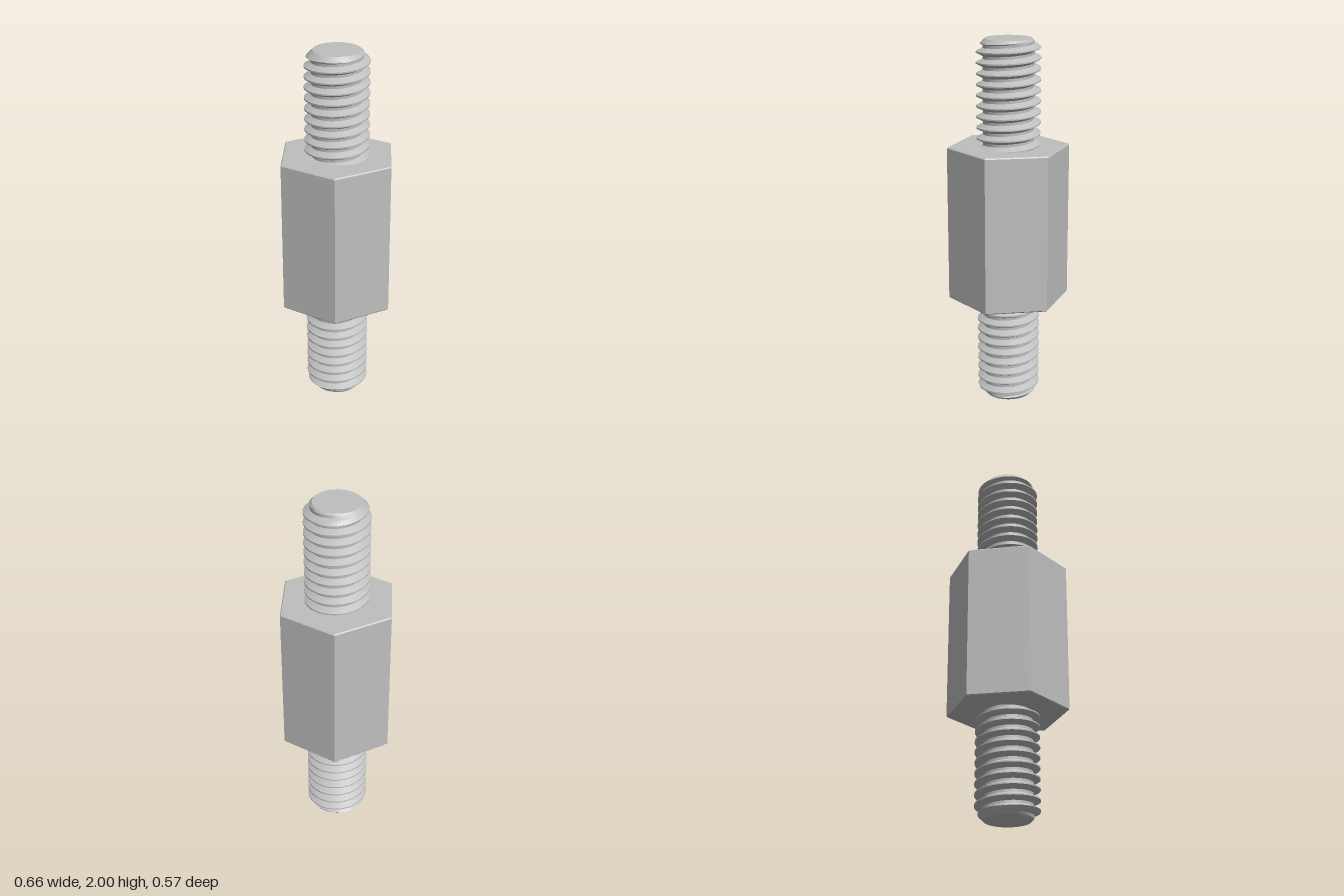
import * as THREE from 'three';
import { toCreasedNormals } from 'three/addons/utils/BufferGeometryUtils.js';

const MAJOR = 0.171, MINOR = 0.136, PITCH = 0.0571, TIP = 0.125;
const BODY_BOTTOM = 0.58, BODY_TOP = 1.43, CREST_Y = 1.949;
const SEGMENTS = 72;
// Row positions within one pitch: crest flat, flank, root flat, flank
const ROWS = [-0.0625, 0.0625, 0.165, 0.27, 0.375, 0.625, 0.73, 0.835];

// Thread radius at an angle (0..1 turn) and height; endY is the chamfered tip
function threadRadius(turn, y, endY) {
  let f = (y - CREST_Y) / PITCH - turn;
  f = Math.abs(f - Math.round(f)); // 0 at crest, 0.5 at root
  const depth = THREE.MathUtils.clamp((f - 0.0625) / (0.375 - 0.0625), 0, 1);
  return Math.min(THREE.MathUtils.lerp(MAJOR, MINOR, depth), TIP + Math.abs(y - endY));
}

// Right-handed helical surface clipped between two heights
function threadGeometry(y0, y1, endY) {
  const positions = [], index = [];
  const first = Math.floor((y0 - CREST_Y) / PITCH) - 2;
  const last = Math.ceil((y1 - CREST_Y) / PITCH) + 1;
  let rows = 0;
  for (let k = first; k <= last; k++) {
    for (const phase of ROWS) {
      for (let j = 0; j <= SEGMENTS; j++) {
        const turn = j / SEGMENTS, a = turn * Math.PI * 2;
        const y = THREE.MathUtils.clamp(CREST_Y + (k + phase + turn) * PITCH, y0, y1);
        const r = threadRadius(turn, y, endY);
        positions.push(r * Math.cos(a), y, -r * Math.sin(a));
      }
      rows++;
    }
  }
  const w = SEGMENTS + 1;
  for (let i = 0; i < rows - 1; i++) {
    for (let j = 0; j < SEGMENTS; j++) {
      const a = i * w + j, b = a + 1, c = a + w, d = c + 1;
      index.push(a, b, d, a, d, c);
    }
  }
  const g = new THREE.BufferGeometry();
  g.setAttribute('position', new THREE.Float32BufferAttribute(positions, 3));
  g.setIndex(index);
  return toCreasedNormals(g, 0.45);
}

// Threaded stud with a flat end cap
function makeStud(name, y0, y1, endY, material) {
  const stud = new THREE.Group();
  stud.name = name;
  const thread = new THREE.Mesh(threadGeometry(y0, y1, endY), material);
  thread.name = 'thread';
  const cap = new THREE.Mesh(new THREE.CircleGeometry(TIP, SEGMENTS), material);
  cap.name = 'endCap';
  cap.rotation.x = endY > 1 ? -Math.PI / 2 : Math.PI / 2;
  cap.position.y = endY;
  stud.add(thread, cap);
  return stud;
}

export function createModel() {
  const model = new THREE.Group();
  model.name = 'hexStandoff';
  const steel = new THREE.MeshStandardMaterial({ color: 0xbfbfbf });
  steel.name = 'steel';

  // Hexagonal body with a slim bevel at both ends
  const R = 0.33, bevel = 0.006;
  const profile = [
    [0, BODY_BOTTOM], [R - bevel, BODY_BOTTOM], [R, BODY_BOTTOM + bevel],
    [R, BODY_TOP - bevel], [R - bevel, BODY_TOP], [0, BODY_TOP],
  ].map(([x, y]) => new THREE.Vector2(x, y));
  const hex = new THREE.LatheGeometry(profile, 6, Math.PI / 2).toNonIndexed();
  hex.computeVertexNormals();
  const body = new THREE.Mesh(hex, steel);
  body.name = 'hexBody';

  model.add(
    body,
    makeStud('upperStud', BODY_TOP - 0.01, 2, 2, steel),
    makeStud('lowerStud', 0, BODY_BOTTOM + 0.01, 0, steel),
  );
  return model;
}
